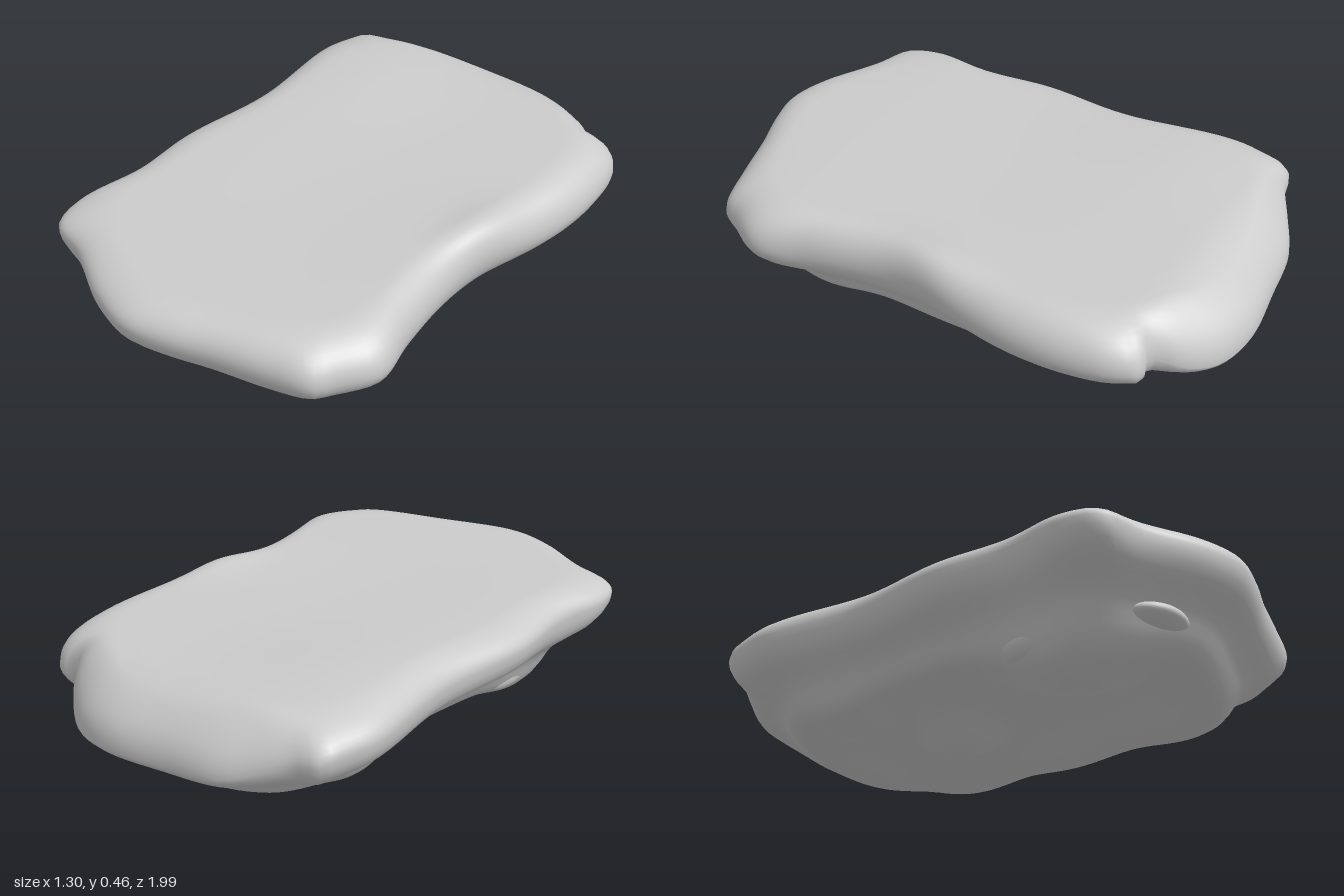
import * as THREE from 'three';
import { mergeVertices } from 'three/addons/utils/BufferGeometryUtils.js';

const { smoothstep, lerp } = THREE.MathUtils;

// Plan outline of the slab as x, z pairs, starting at the back right corner
const OUTLINE = [
  [-0.6, -0.81], [-0.52, -0.83], [-0.43, -0.88], [-0.3, -0.945], [-0.1, -0.975], [0.13, -1],
  [0.28, -0.97], [0.4, -0.89], [0.48, -0.8], [0.54, -0.815], [0.6, -0.75], [0.635, -0.6],
  [0.64, -0.4], [0.605, -0.15], [0.565, 0.12], [0.6, 0.4], [0.65, 0.6], [0.575, 0.74],
  [0.54, 0.8], [0.4, 0.85], [0.2, 0.91], [0.05, 0.965], [-0.09, 0.995], [-0.25, 0.955],
  [-0.45, 0.85], [-0.6, 0.8], [-0.64, 0.68], [-0.61, 0.45], [-0.635, 0.17], [-0.6, -0.2],
  [-0.65, -0.6], [-0.63, -0.72],
];

// Lumps and ridges under the slab: x, z, radius x, radius z, depth
const LUMPS = [
  [-0.27, 0.48, 0.24, 0.26, 0.135],
  [0.38, 0.05, 0.2, 0.35, 0.08],
  [0.36, 0.48, 0.22, 0.32, 0.085],
  [0.38, -0.45, 0.18, 0.3, 0.055],
  [-0.02, -0.22, 0.17, 0.15, 0.1],
  [-0.26, -0.44, 0.25, 0.16, 0.06],
  [-0.03, -0.74, 0.5, 0.13, 0.055],
  [0.05, 0.66, 0.45, 0.17, 0.055],
];

const hill = (x, z, cx, cz, rx, rz) => Math.exp(-(((x - cx) / rx) ** 2) - ((z - cz) / rz) ** 2);

// Slight peak halfway along the left edge
const peak = (x, z) => hill(x, z, 0.6, -0.03, 0.12, 0.17);

// Gently uneven top face
const topHeight = (x, z) => 0.437
  + 0.022 * hill(x, z, -0.38, -0.5, 0.3, 0.35)
  + 0.04 * peak(x, z)
  - 0.06 * smoothstep(-z, 0.76, 0.98)
  - 0.012 * smoothstep(z, 0.5, 0.9)
  - 0.008 * hill(x, z, 0.05, 0.15, 0.35, 0.5);

// Lumps blend softly, the deepest one leading
const bottomHeight = (x, z) => 0.135 - Math.cbrt(LUMPS.reduce(
  (sum, [cx, cz, rx, rz, depth]) => sum + (depth * hill(x, z, cx, cz, rx, rz)) ** 3, 0));

// Height of the widest line around the rim
const rimHeight = (x, z) => 0.33 - 0.045 * x + 0.04 * peak(x, z)
  - 0.1 * smoothstep(-z, 0.76, 0.98);

// Rings run from the centre of the top, over the rim, to the centre below
function slabGeometry() {
  const count = 160;
  const curve = new THREE.CatmullRomCurve3(
    OUTLINE.map(([x, z]) => new THREE.Vector3(x, 0, z)), true, 'centripetal');
  const outline = curve.getSpacedPoints(count).slice(0, count);
  // Softer outline for the rings away from the rim
  const soft = outline.map((_, i) => {
    const mean = new THREE.Vector3();
    for (let k = -5; k <= 5; k++) mean.addScaledVector(outline[(i + k + count) % count], 1 / 11);
    return mean;
  });

  const rings = [];
  const topInset = 0.13;
  const lowInset = 0.2;
  for (let k = 0; k <= 16; k++) {
    rings.push({ scale: k / 16, inset: topInset, blend: 1, height: topHeight });
  }
  for (let k = 1; k <= 10; k++) {
    const a = (k / 10) * Math.PI / 2;
    const blend = k === 10 ? 0 : Math.cos(a) ** 0.9;
    rings.push({ scale: 1, inset: topInset * (1 - Math.sin(a)), blend, height: topHeight });
  }
  // Rounded lower half of the rim, then the undercut wall
  for (const [inset, blend] of [[0.004, 0.13], [0.014, 0.26], [0.032, 0.38], [0.06, 0.47],
    [0.09, 0.55], [0.12, 0.65], [0.14, 0.76], [0.155, 0.86], [0.175, 0.95]]) {
    rings.push({ scale: 1, inset, blend, height: bottomHeight });
  }
  for (let k = 20; k >= 0; k--) {
    rings.push({ scale: k / 20, inset: lowInset, blend: 1, height: bottomHeight });
  }

  const positions = [];
  const index = [];
  const last = rings.length - 1;
  rings.forEach(({ scale, inset, blend, height }, r) => {
    for (let i = 0; i < count; i++) {
      const rim = outline[i];
      const softness = Math.min(1, inset / topInset);
      const x = lerp(rim.x, soft[i].x, softness) * scale * (1 - inset / 0.62);
      const z = lerp(rim.z, soft[i].z, softness) * scale * (1 - inset / 0.98);
      positions.push(x, lerp(rimHeight(rim.x, rim.z), height(x, z), blend), z);
      // One triangle instead of two next to either centre
      const a = r * count + i;
      const b = r * count + (i + 1) % count;
      if (r > 0 && r < last) index.push(a, b, a + count);
      if (r < last - 1) index.push(b, b + count, a + count);
    }
  });

  const geometry = new THREE.BufferGeometry();
  geometry.setAttribute('position', new THREE.Float32BufferAttribute(positions, 3));
  geometry.setIndex(index);
  const merged = mergeVertices(geometry, 1e-5);
  merged.computeBoundingBox();
  merged.translate(0, -merged.boundingBox.min.y, 0);
  merged.computeVertexNormals();
  return merged;
}

export function createModel() {
  const group = new THREE.Group();
  group.name = 'flatRock';
  const material = new THREE.MeshStandardMaterial({ color: 0xcccccc });

  const slab = new THREE.Mesh(slabGeometry(), material);
  slab.name = 'slab';
  group.add(slab);

  // Smooth swellings half buried in the stone: name, centre, radii
  const swellings = [
    ['frontSwelling', [-0.22, 0.165, 0.74], [0.13, 0.04, 0.1]],
    ['rightSwelling', [-0.4, 0.12, 0.4], [0.07, 0.06, 0.14]],
  ];
  for (const [name, centre, radii] of swellings) {
    const mesh = new THREE.Mesh(new THREE.SphereGeometry(1, 32, 20), material);
    mesh.name = name;
    mesh.position.set(...centre);
    mesh.scale.set(...radii);
    group.add(mesh);
  }
  return group;
}
